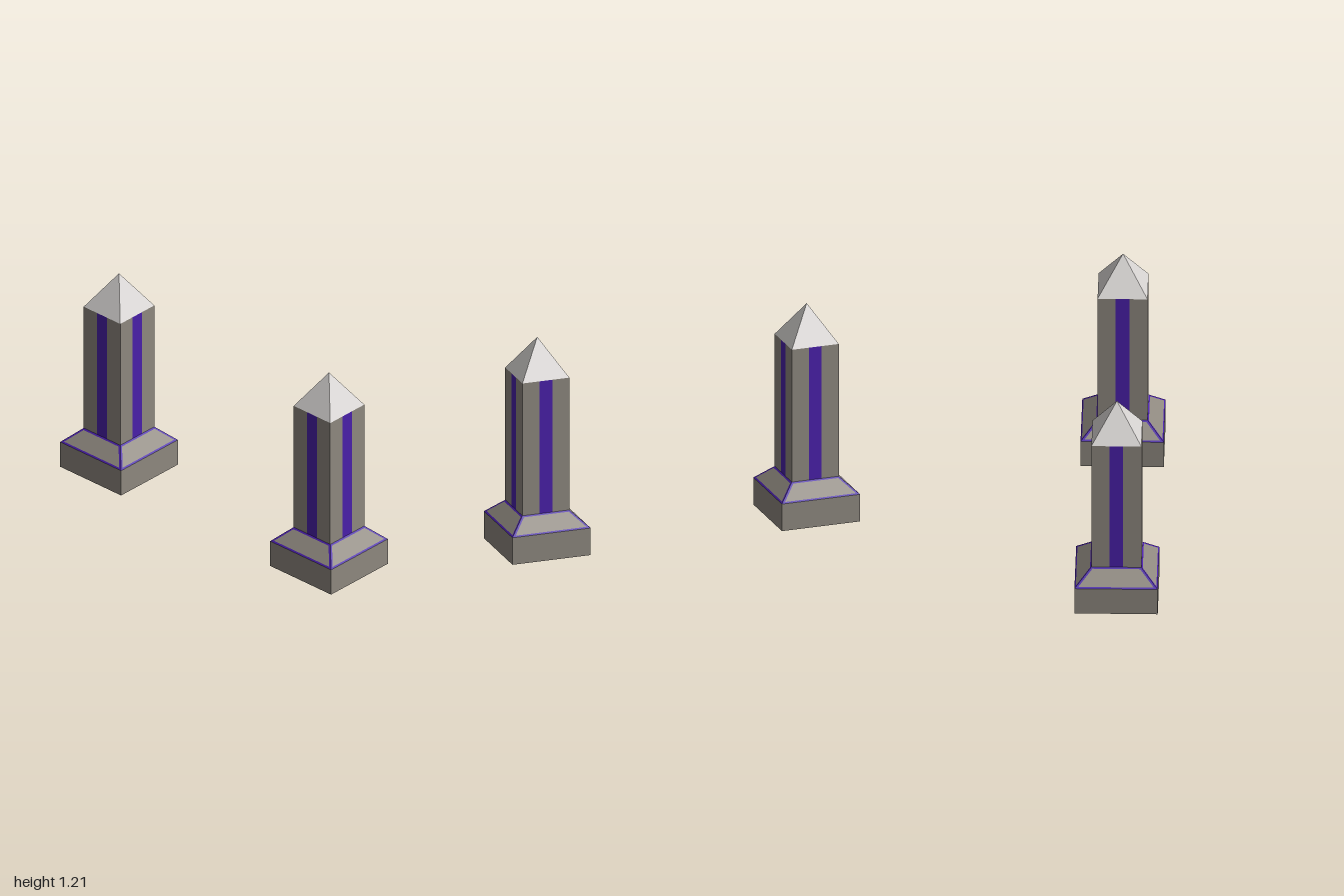
import * as THREE from 'three';

const side = THREE.DoubleSide; // thin open shells
const stone = new THREE.MeshStandardMaterial({ color: 0x8f8980, side });
const violet = new THREE.MeshStandardMaterial({ color: 0x4a20ab, side });
const paleStone = new THREE.MeshStandardMaterial({ color: 0xd8d5d3, side });
stone.name = 'stone';
violet.name = 'violet';
paleStone.name = 'paleStone';

// Half widths and heights of the pillar's levels
const BASE = 0.225, SHAFT = 0.135, STRIPE = 0.037;
const Y_BASE = 0.155, Y_SKIRT = 0.24, Y_SHAFT = 1.0, Y_TIP = 1.205;

// Flat panels drawn for the +z side, then turned onto all four sides.
// Each panel lists corners [x, y, z] counter-clockwise, seen from outside.
function fourSided(name, material, panels) {
  const positions = [];
  for (let k = 0; k < 4; k++) {
    const turn = new THREE.Matrix4().makeRotationY(k * Math.PI / 2);
    for (const panel of panels) {
      const p = panel.map((c) => new THREE.Vector3(...c).applyMatrix4(turn));
      for (let i = 1; i < p.length - 1; i++) {
        for (const v of [p[0], p[i], p[i + 1]]) positions.push(v.x, v.y, v.z);
      }
    }
  }
  const geometry = new THREE.BufferGeometry();
  geometry.setAttribute('position', new THREE.Float32BufferAttribute(positions, 3));
  geometry.computeVertexNormals();
  const mesh = new THREE.Mesh(geometry, material);
  mesh.name = name;
  return mesh;
}

// Upright rectangle at depth z
const wall = (x0, x1, y0, y1, z) => [[x0, y0, z], [x1, y0, z], [x1, y1, z], [x0, y1, z]];

// Sloping skirt: t runs up the slope, inset pulls a point in from the corner edge
function skirtPoint(sign, t, inset) {
  const half = THREE.MathUtils.lerp(BASE, SHAFT, t);
  return [sign * (half - inset), THREE.MathUtils.lerp(Y_BASE, Y_SKIRT, t), half];
}
function skirtQuad(t0, t1, inset) {
  return [skirtPoint(-1, t0, inset), skirtPoint(1, t0, inset),
    skirtPoint(1, t1, inset), skirtPoint(-1, t1, inset)];
}
function skirtEdge(sign, t0, t1, inset) {
  const quad = [skirtPoint(sign, t0, inset), skirtPoint(sign, t0, 0),
    skirtPoint(sign, t1, 0), skirtPoint(sign, t1, inset)];
  return sign > 0 ? quad : quad.reverse();
}

function createPillar(name) {
  const pillar = new THREE.Group();
  pillar.name = name;
  const t = 0.085, inset = 0.0135; // trim widths

  pillar.add(
    fourSided('base', stone, [wall(-BASE, BASE, 0, Y_BASE, BASE)]),
    fourSided('skirt', stone, [skirtQuad(t, 1 - t, inset)]),
    fourSided('skirtTrim', violet, [
      skirtQuad(0, t, 0),
      skirtQuad(1 - t, 1, 0),
      skirtEdge(1, t, 1 - t, inset),
      skirtEdge(-1, t, 1 - t, inset),
    ]),
    fourSided('shaft', stone, [
      wall(-SHAFT, -STRIPE, Y_SKIRT, Y_SHAFT, SHAFT),
      wall(STRIPE, SHAFT, Y_SKIRT, Y_SHAFT, SHAFT),
    ]),
    fourSided('shaftStripes', violet, [wall(-STRIPE, STRIPE, Y_SKIRT, Y_SHAFT, SHAFT)]),
    fourSided('pointedCap', paleStone, [
      [[-SHAFT, Y_SHAFT, SHAFT], [SHAFT, Y_SHAFT, SHAFT], [0, Y_TIP, 0]],
    ]),
  );
  return pillar;
}

export function createModel() {
  const model = new THREE.Group();
  model.name = 'pillarPair';
  for (const [name, sign] of [['leftPillar', 1], ['rightPillar', -1]]) {
    const pillar = createPillar(name);
    pillar.position.x = sign * (1 - BASE);
    model.add(pillar);
  }
  return model;
}
